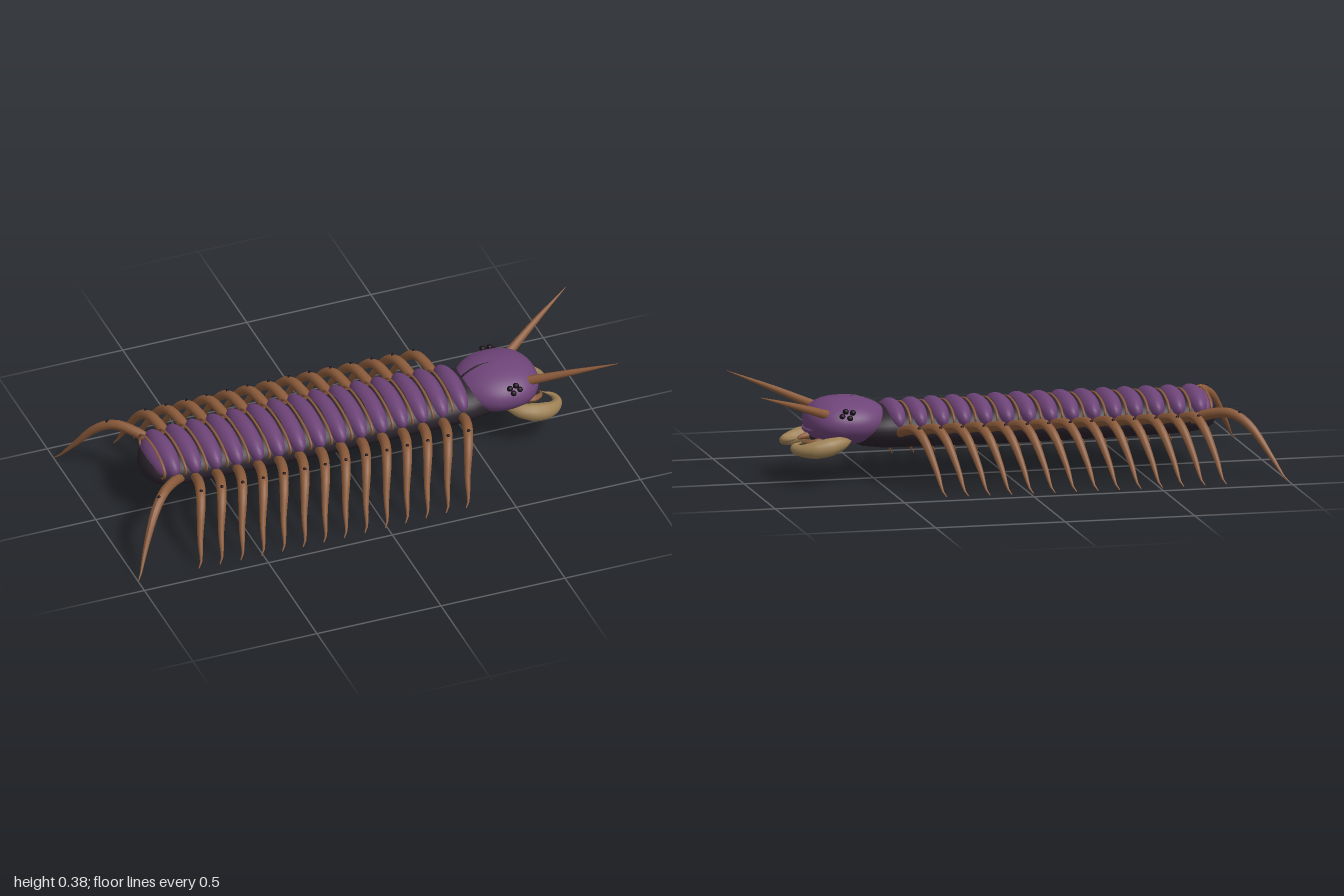
import * as THREE from 'three';

const mat = (name, color) => {
  const m = new THREE.MeshStandardMaterial({ color });
  m.name = name;
  return m;
};

export function createModel() {
  const root = new THREE.Group();
  root.name = 'centipede';
  const purple = mat('purple shell', 0x6e4478);
  const dark = mat('dark underside', 0x2b232c);
  const brown = mat('brown limb', 0x8a5a3a);
  const tan = mat('tan claw', 0x9c8054);
  const black = mat('black eye', 0x150c16);

  const add = (name, geo, material, parent = root) => {
    const m = new THREE.Mesh(geo, material);
    m.name = name;
    parent.add(m);
    return m;
  };

  // Smooth ellipsoid at a point
  const ball = (name, material, [x, y, z], [rx, ry, rz], parent, seg = 28) => {
    const m = add(name, new THREE.SphereGeometry(1, seg, Math.ceil(seg * 0.65)), material, parent);
    m.position.set(x, y, z);
    m.scale.set(rx, ry, rz);
    return m;
  };

  // Tube through points whose radius follows a list of radii
  const taper = (name, material, pts, radii, parent, segs = 18, sides = 10) => {
    const path = new THREE.CatmullRomCurve3(pts.map(p => new THREE.Vector3(...p)));
    const geo = new THREE.TubeGeometry(path, segs, 1, sides);
    const pos = geo.attributes.position, v = new THREE.Vector3();
    for (let i = 0; i <= segs; i++) {
      const c = path.getPointAt(i / segs);
      const t = (i / segs) * (radii.length - 1), k = Math.min(Math.floor(t), radii.length - 2);
      const r = THREE.MathUtils.lerp(radii[k], radii[k + 1], t - k);
      for (let j = 0; j <= sides; j++) {
        const n = i * (sides + 1) + j;
        v.fromBufferAttribute(pos, n).sub(c).multiplyScalar(r).add(c);
        pos.setXYZ(n, v.x, v.y, v.z);
      }
    }
    geo.computeVertexNormals();
    return add(name, geo, material, parent);
  };

  // Long flattened trunk
  const profile = [[0, -0.82], [0.05, -0.815], [0.09, -0.795], [0.118, -0.76], [0.132, -0.68],
    [0.142, -0.4], [0.145, 0], [0.141, 0.35], [0.138, 0.47], [0.122, 0.55], [0.08, 0.6], [0, 0.62]];
  const trunk = new THREE.LatheGeometry(profile.map(p => new THREE.Vector2(...p)), 40);
  trunk.rotateZ(-Math.PI / 2).scale(1, 0.58, 1).translate(0, 0.2, 0);
  add('trunk', trunk, dark);

  // Back plates, the hoops between them, and walking legs
  const COUNT = 15, PITCH = 0.083;
  const plates = new THREE.Group(), legs = new THREE.Group();
  plates.name = 'backPlates';
  legs.name = 'legs';
  root.add(plates, legs);
  for (let i = 0; i < COUNT; i++) {
    const x = 0.43 - i * PITCH;
    const swell = Math.sin((Math.PI * (i + 1)) / (COUNT + 1));
    const halfWidth = 0.135 + 0.032 * swell;
    ball('backPlate', purple, [x, 0.236, 0], [0.046, 0.064, halfWidth], plates);
    const hoop = new THREE.TorusGeometry(1, 0.05, 8, 40);
    hoop.rotateY(Math.PI / 2).scale(0.1, 0.054, halfWidth * 0.92);
    add('plateHoop', hoop, brown, plates).position.set(x - PITCH / 2, 0.232, 0);

    if (i === COUNT - 1) continue;
    for (const s of [1, -1]) {
      const w = 0.965 + 0.045 * swell;
      const at = (dx, y, z) => [x + dx, y, z * w * s];
      taper('walkingLeg', brown, [at(0, 0.19, 0.12), at(-0.012, 0.215, 0.19), at(-0.033, 0.227, 0.27),
        at(-0.052, 0.195, 0.325), at(-0.08, 0.1, 0.39), at(-0.098, 0.016, 0.443), at(-0.108, 0.003, 0.45)],
        [0.017, 0.02, 0.019, 0.017, 0.013, 0.009, 0.002], legs);
      ball('legKnee', black, at(-0.038, 0.238, 0.29), [0.007, 0.006, 0.007], legs, 8);
    }
  }
  ball('tailPlate', purple, [-0.755, 0.225, 0], [0.05, 0.058, 0.115], plates);

  // Mirrored limbs and face parts
  for (const s of [1, -1]) {
    const at = (x, y, z) => [x, y, z * s];
    taper('tailLeg', brown, [at(-0.7, 0.19, 0.11), at(-0.76, 0.222, 0.175), at(-0.825, 0.233, 0.245),
      at(-0.88, 0.195, 0.3), at(-0.945, 0.09, 0.37), at(-0.988, 0.012, 0.425), at(-0.998, 0.003, 0.435)],
      [0.018, 0.02, 0.019, 0.017, 0.013, 0.008, 0.002], legs);
    ball('legKnee', black, at(-0.85, 0.24, 0.267), [0.007, 0.006, 0.007], legs, 8);

    taper('antenna', brown, [at(0.69, 0.264, 0.092), at(0.85, 0.327, 0.186), at(1, 0.382, 0.27)],
      [0.019, 0.012, 0.001], root);

    // Large curved venom claw
    taper('venomClaw', tan, [at(0.61, 0.175, 0.1), at(0.66, 0.165, 0.135), at(0.73, 0.15, 0.146),
      at(0.79, 0.142, 0.13), at(0.823, 0.142, 0.095), at(0.82, 0.148, 0.06), at(0.785, 0.158, 0.036)],
      [0.008, 0.026, 0.035, 0.033, 0.023, 0.013, 0.001], root, 28, 14);

    taper('mandible', brown, [at(0.7, 0.165, 0.07), at(0.745, 0.16, 0.07), at(0.775, 0.158, 0.05),
      at(0.78, 0.158, 0.025)], [0.014, 0.014, 0.009, 0.001], root);

    // Cluster of simple eyes
    for (const [dx, dy, dz] of [[-0.018, 0.01, 0], [0.008, 0.014, -0.006], [-0.006, -0.01, 0.006], [0.022, -0.004, -0.002]])
      ball('eye', black, at(0.632 + dx, 0.272 + dy, 0.142 + dz), [0.012, 0.011, 0.011], root, 12);
  }

  // Head: ellipsoid with a blunter front
  const head = new THREE.SphereGeometry(1, 48, 32);
  const p = head.attributes.position;
  for (let i = 0; i < p.count; i++) {
    const x = p.getX(i);
    if (x > 0) p.setX(i, Math.pow(x, 0.75));
  }
  head.scale(0.16, 0.091, 0.16).translate(0.61, 0.231, 0);
  head.computeVertexNormals();
  add('head', head, purple);

  // Crease on top, lip and mouth line
  taper('headCrease', black, [[0.455, 0.26, 0], [0.48, 0.284, 0], [0.53, 0.31, 0], [0.59, 0.3205, 0]],
    [0.004, 0.004, 0.004, 0.001], root);
  taper('lip', purple, [[0.735, 0.211, -0.09], [0.758, 0.203, -0.05], [0.764, 0.2, 0], [0.758, 0.203, 0.05],
    [0.735, 0.211, 0.09]], [0.002, 0.008, 0.009, 0.008, 0.002], root);
  taper('mouth', dark, [[0.705, 0.172, -0.08], [0.727, 0.168, -0.04], [0.732, 0.166, 0], [0.727, 0.168, 0.04],
    [0.705, 0.172, 0.08]], [0.003, 0.01, 0.012, 0.01, 0.003], root);

  return root;
}
